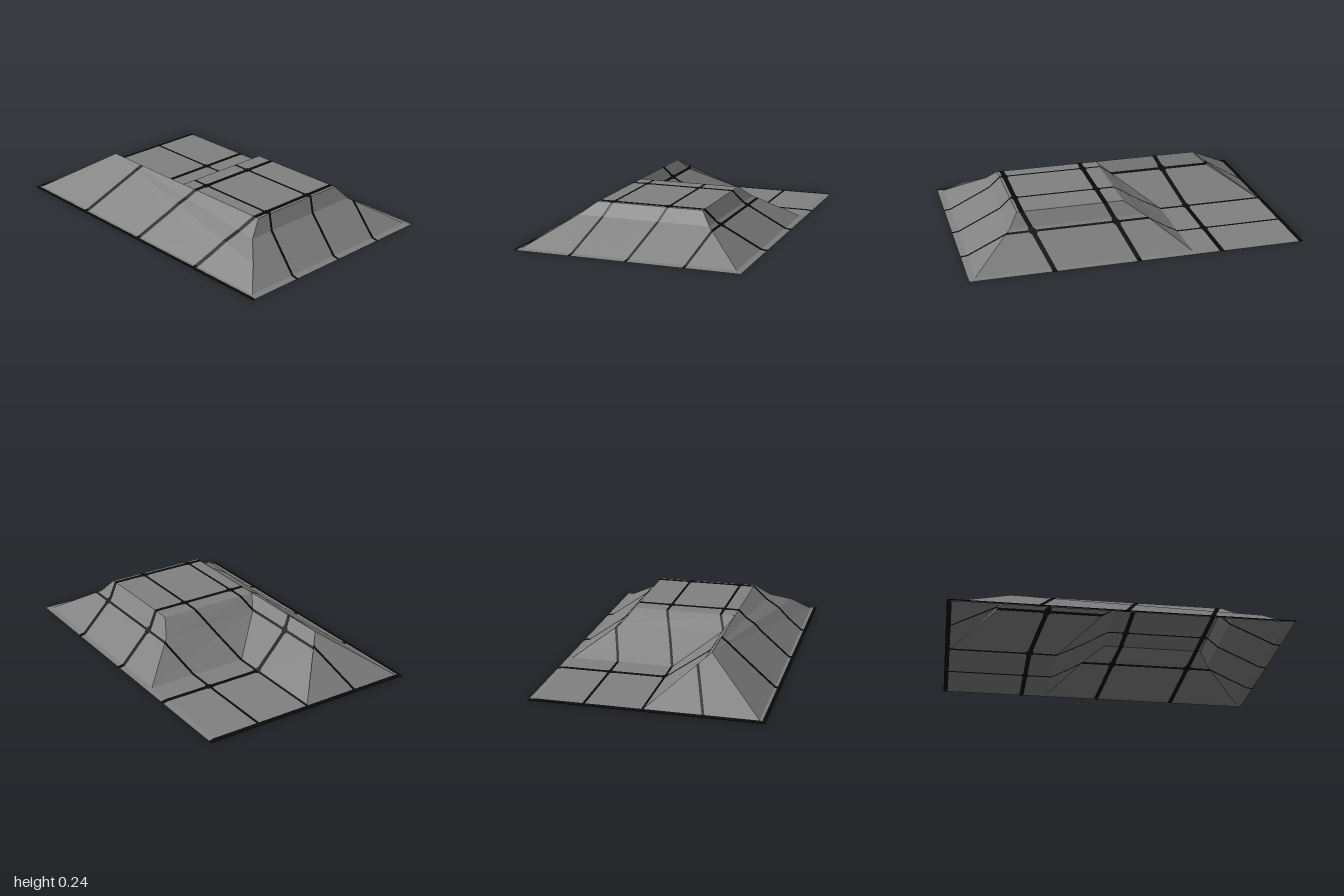
import * as THREE from 'three';

const grey = new THREE.MeshStandardMaterial({ color: 0x808080, side: THREE.DoubleSide });
grey.name = 'concreteGrey';
const black = new THREE.MeshStandardMaterial({ color: 0x0a0a0a, side: THREE.DoubleSide });
black.name = 'seamBlack';

// Corner points of the ramped surface
const P = {
  // upper edge
  A: [-0.3, 0.24, 0.66], B: [0.34, 0.24, 0.66], C: [0.34, 0.24, 0.02], D: [-0.3, 0.24, 0.02], E: [-0.3, 0.24, -0.63],
  // bevel under the upper edge
  A1: [-0.4, 0.165, 0.715], B1: [0.4, 0.165, 0.715], C1: [0.4, 0.165, -0.09], D1: [-0.24, 0.165, -0.075], E1: [-0.24, 0.165, -0.71],
  A2: [-0.52, 0.1, 0.845],
  // foot of the slopes
  A3: [-0.64, 0.005, 0.96], B3: [0.64, 0.005, 0.96], C3: [0.64, 0.005, -0.32], F: [0.01, 0.005, -0.32],
  J: [0.01, 0.005, -0.97], K: [0.64, 0.005, -0.97], H: [-0.64, 0.005, -0.97],
  // rim corners
  R1: [-0.675, 0, 1], R2: [0.675, 0, 1], R3: [0.675, 0, -1], R4: [-0.675, 0, -1],
};

// Each part is a list of faces, split as fans from the first corner
const PARTS = {
  plateau: ['A B C D'],
  frontSlope: ['A A1 B1 B', 'A1 A2 A3 B3 B1'],
  leftSlope: ['E H A3 A2 A1 A D'],
  rightSlope: ['B B1 C1 C', 'B1 B3 C3 C1'],
  backSlope: ['D C C1 D1', 'D1 C1 C3 F'],
  ridgeInnerSlope: ['E D D1 E1', 'E1 D1 F J'],
  ridgeBackSlope: ['E E1 J H'],
  lowerFloor: ['F C3 K J'],
  rim: ['R1 R2 B3 A3', 'R2 R3 K C3 B3', 'R3 R4 H J K', 'R4 R1 A3 H'],
};

// The seams form a slanted grid: both coordinates shift with height
const gridU = p => p[0] - 0.5 * p[1];
const gridV = p => p[2] - 0.5 * p[1];
const SEAMS_U = [-0.33, 0.01, 0.35];
const SEAMS_V = [-0.49, 0.01, 0.51];
const HALF_U = 0.008, HALF_V = 0.014, KNOT = 0.021;
const EDGE_U = -0.657, EDGE_V = -0.975;

const cuts = [[gridU, EDGE_U], [gridV, EDGE_V]];
for (const s of SEAMS_U) for (const w of [HALF_U, KNOT]) cuts.push([gridU, s - w], [gridU, s + w]);
for (const s of SEAMS_V) for (const w of [HALF_V, KNOT]) cuts.push([gridV, s - w], [gridV, s + w]);

// Split a convex polygon along the line f(p) = value
function split(poly, f, value) {
  const low = [], high = [];
  poly.forEach((p, i) => {
    const q = poly[(i + 1) % poly.length];
    const a = f(p) - value, b = f(q) - value;
    (a < 0 ? low : high).push(p);
    if ((a < 0) !== (b < 0)) {
      const t = a / (a - b);
      const m = p.map((c, k) => c + (q[k] - c) * t);
      low.push(m);
      high.push(m);
    }
  });
  return [low, high].filter(part => part.length > 2);
}

// Seam lines, the small knots where they cross, and two dark borders
function isSeam(poly) {
  const mean = f => poly.reduce((sum, p) => sum + f(p), 0) / poly.length;
  const u = mean(gridU), v = mean(gridV);
  const du = Math.min(...SEAMS_U.map(s => Math.abs(u - s)));
  const dv = Math.min(...SEAMS_V.map(s => Math.abs(v - s)));
  return u < EDGE_U || v < EDGE_V || du < HALF_U || dv < HALF_V || (du < KNOT && dv < KNOT);
}

// Write a polygon as upward-facing triangles
function emit(out, poly) {
  for (let i = 1; i < poly.length - 1; i++) {
    const [a, b, c] = [poly[0], poly[i], poly[i + 1]];
    const up = (b[2] - a[2]) * (c[0] - a[0]) - (b[0] - a[0]) * (c[2] - a[2]);
    if (Math.abs(up) < 1e-10) continue;
    out.push(...a, ...(up > 0 ? [...b, ...c] : [...c, ...b]));
  }
}

function buildPart(name, faces) {
  const plain = [], seam = [];
  for (const face of faces) {
    const pts = face.split(' ').map(key => P[key]);
    for (let i = 1; i < pts.length - 1; i++) {
      let cells = [[pts[0], pts[i], pts[i + 1]]];
      for (const [f, value] of cuts) cells = cells.flatMap(cell => split(cell, f, value));
      for (const cell of cells) emit(isSeam(cell) ? seam : plain, cell);
    }
  }
  const geometry = new THREE.BufferGeometry();
  geometry.setAttribute('position', new THREE.Float32BufferAttribute([...plain, ...seam], 3));
  geometry.addGroup(0, plain.length / 3, 0);
  geometry.addGroup(plain.length / 3, seam.length / 3, 1);
  geometry.computeVertexNormals();
  const mesh = new THREE.Mesh(geometry, [grey, black]);
  mesh.name = name;
  return mesh;
}

export function createModel() {
  const model = new THREE.Group();
  model.name = 'rampedPlatform';
  for (const [name, faces] of Object.entries(PARTS)) model.add(buildPart(name, faces));
  return model;
}
